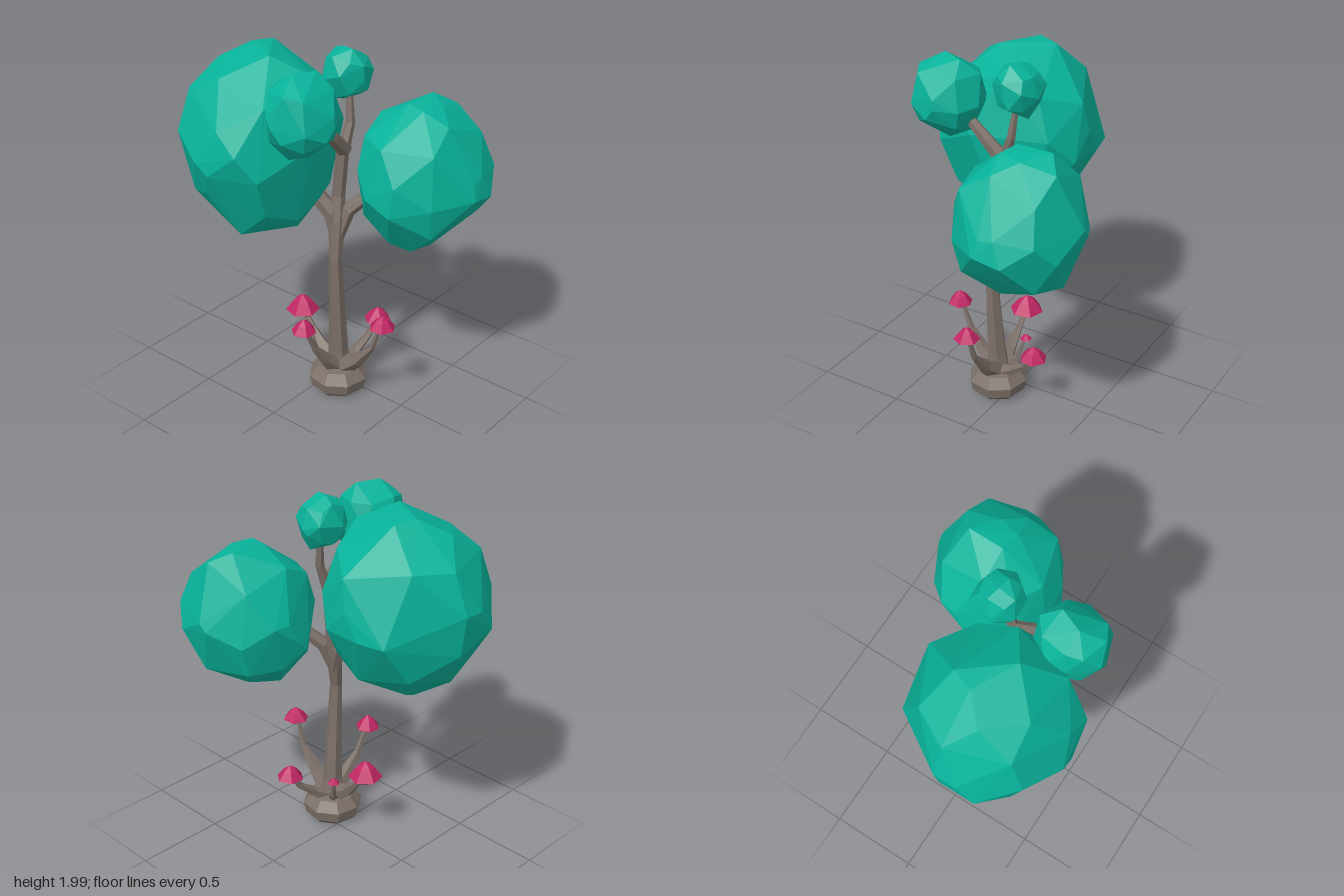
import * as THREE from 'three';
import { ConvexGeometry } from 'three/addons/geometries/ConvexGeometry.js';

const leaf = new THREE.MeshStandardMaterial({ color: 0x08b29a });
leaf.name = 'leafTeal';
const bark = new THREE.MeshStandardMaterial({ color: 0x7c7068 });
bark.name = 'barkBrown';
const capPink = new THREE.MeshStandardMaterial({ color: 0xc02664 });
capPink.name = 'capPink';

// Split faces so each one shades flat
function faceted(geometry) {
  const g = geometry.index ? geometry.toNonIndexed() : geometry;
  g.computeVertexNormals();
  return g;
}

// Faceted foliage ball: hull of a front (x,y), side (z,y) and top (x,z) outline
// around a centre, rounded out by one point in each of the eight corners
function foliageGeometry(centre, half, front, side, top) {
  const [cx, cy, cz] = centre;
  const [hx, hy, hz] = half;
  const wobble = (i) => (i % 2 ? 0.14 : -0.14);
  const points = [
    ...front.map(([x, y], i) => new THREE.Vector3(x, y, cz + wobble(i) * hz)),
    ...side.map(([z, y], i) => new THREE.Vector3(cx + wobble(i) * hx, y, z)),
    ...top.map(([x, z], i) => new THREE.Vector3(x, cy + wobble(i) * hy, z)),
  ];
  for (const sx of [-0.59, 0.59]) {
    for (const sy of [-0.59, 0.59]) {
      for (const sz of [-0.59, 0.59]) points.push(new THREE.Vector3(cx + sx * hx, cy + sy * hy, cz + sz * hz));
    }
  }
  return faceted(new ConvexGeometry(points));
}

// Tapered faceted limb: each node is [x, y, z, radius]
function limbGeometry(nodes, sides) {
  const pts = nodes.map((n) => new THREE.Vector3(n[0], n[1], n[2]));
  const last = pts.length - 1;
  const dir = pts[last].clone().sub(pts[0]);
  const ref = Math.abs(dir.x) < Math.abs(dir.z) ? new THREE.Vector3(1, 0, 0) : new THREE.Vector3(0, 0, 1);
  const positions = [];
  const index = [];
  pts.forEach((p, i) => {
    const t = pts[Math.min(i + 1, last)].clone().sub(pts[Math.max(i - 1, 0)]).normalize();
    const u = ref.clone().cross(t).normalize();
    const v = t.clone().cross(u);
    for (let j = 0; j < sides; j++) {
      const a = (j / sides) * Math.PI * 2;
      const q = p.clone().addScaledVector(u, Math.cos(a) * nodes[i][3]).addScaledVector(v, Math.sin(a) * nodes[i][3]);
      positions.push(q.x, q.y, q.z);
      if (i < last) {
        const k = i * sides;
        const n = (j + 1) % sides;
        index.push(k + j, k + n, k + sides + n, k + j, k + sides + n, k + sides + j);
      }
    }
  });
  // Close the tip
  for (let j = 1; j < sides - 1; j++) index.push(last * sides, last * sides + j, last * sides + j + 1);
  const g = new THREE.BufferGeometry();
  g.setAttribute('position', new THREE.Float32BufferAttribute(positions, 3));
  g.setIndex(index);
  return faceted(g);
}

function lathe(profile, sides) {
  return faceted(new THREE.LatheGeometry(profile.map(([x, y]) => new THREE.Vector2(x, y)), sides));
}

export function createModel() {
  const model = new THREE.Group();
  model.name = 'tree';
  const add = (name, geometry, material, parent = model) => {
    const mesh = new THREE.Mesh(geometry, material);
    mesh.name = name;
    parent.add(mesh);
    return mesh;
  };

  // Bulbous root base
  const base = add('rootBase', lathe(
    [[0, 0.03], [0.07, 0.008], [0.13, 0.012], [0.158, 0.04], [0.17, 0.1], [0.125, 0.155], [0, 0.17]], 8), bark);
  base.position.set(-0.065, 0, 0.105);
  base.rotation.y = 0.2;

  // Trunk and branches
  const limbs = {
    trunk: [[-0.065, 0.1, 0.105, 0.085], [-0.07, 0.25, 0.108, 0.056], [-0.088, 0.55, 0.112, 0.044],
      [-0.1, 0.85, 0.11, 0.035], [-0.065, 1.06, 0.09, 0.046], [-0.04, 1.2, 0.08, 0.036], [-0.03, 1.48, 0.1, 0.034]],
    backBranch: [[-0.075, 0.96, 0.1, 0.036], [-0.07, 1.1, 0.06, 0.05], [-0.12, 1.28, -0.1, 0.04]],
    frontBranch: [[-0.075, 0.96, 0.1, 0.034], [-0.02, 1.12, 0.13, 0.042], [0.1, 1.26, 0.26, 0.03]],
    rightTwig: [[-0.02, 1.46, 0.1, 0.045], [-0.12, 1.56, 0.11, 0.036], [-0.27, 1.7, 0.11, 0.024]],
    leftTwig: [[-0.03, 1.45, 0.1, 0.034], [0.025, 1.6, 0.105, 0.025], [0.045, 1.8, 0.08, 0.015]],
  };
  for (const [name, nodes] of Object.entries(limbs)) add(name, limbGeometry(nodes, 6), bark);

  // Foliage balls
  add('backFoliage', foliageGeometry([-0.18, 1.47, -0.33], [0.44, 0.5, 0.43],
    [[-0.62, 1.455], [-0.575, 1.64], [-0.42, 1.85], [-0.16, 1.965], [0, 1.95], [0.235, 1.7], [0.26, 1.4],
      [0.12, 1.1], [-0.125, 0.96], [-0.425, 1], [-0.55, 1.255]],
    [[-0.205, 1.965], [-0.435, 1.96], [-0.56, 1.88], [-0.69, 1.75], [-0.77, 1.53], [-0.745, 1.315], [-0.59, 1.07],
      [-0.445, 0.985], [-0.275, 0.96], [-0.14, 0.97], [-0.03, 1.09], [0.03, 1.21], [0.09, 1.55], [-0.02, 1.86]],
    [[-0.34, -0.76], [-0.12, -0.775], [0.23, -0.545], [0.26, -0.305], [0.25, -0.17], [0.155, -0.045],
      [-0.525, -0.05], [-0.595, -0.135], [-0.62, -0.305], [-0.52, -0.605]]), leaf);
  add('frontFoliage', foliageGeometry([0.258, 1.31, 0.4], [0.36, 0.39, 0.37],
    [[-0.035, 1.53], [0.18, 1.7], [0.41, 1.71], [0.49, 1.65], [0.615, 1.325], [0.54, 1.055], [0.345, 0.94],
      [0.105, 0.925], [0.05, 0.965], [-0.1, 1.2]],
    [[0.345, 1.71], [0.485, 1.69], [0.59, 1.64], [0.74, 1.38], [0.77, 1.28], [0.66, 1.12], [0.51, 0.945],
      [0.34, 0.925], [0.23, 0.94], [0.095, 1.09], [0.025, 1.2], [0.04, 1.37], [0.165, 1.62]],
    [[0.255, 0.025], [0.395, 0.05], [0.525, 0.165], [0.615, 0.39], [0.575, 0.59], [0.505, 0.685], [0.365, 0.765],
      [0.23, 0.745], [0.01, 0.64], [-0.085, 0.47], [-0.09, 0.295], [-0.015, 0.185], [0.155, 0.055]]), leaf);
  add('rightSmallFoliage', foliageGeometry([-0.355, 1.76, 0.1], [0.195, 0.225, 0.19],
    [[-0.39, 1.98], [-0.265, 1.975], [-0.175, 1.9], [-0.155, 1.74], [-0.225, 1.585], [-0.335, 1.535],
      [-0.425, 1.54], [-0.535, 1.67], [-0.55, 1.74], [-0.515, 1.91]],
    [[0.15, 1.93], [0.295, 1.74], [0.285, 1.675], [0.165, 1.6], [-0.04, 1.62], [-0.09, 1.76], [-0.04, 1.91]],
    [[-0.385, -0.09], [-0.3, -0.085], [-0.19, -0.015], [-0.165, 0.1], [-0.21, 0.235], [-0.33, 0.29],
      [-0.495, 0.245], [-0.545, 0.04]]), leaf);
  add('topSmallFoliage', foliageGeometry([0.042, 1.86, 0.065], [0.125, 0.14, 0.13],
    [[0.035, 2], [0.135, 1.945], [0.165, 1.815], [0.115, 1.72], [-0.035, 1.74], [-0.08, 1.87], [-0.055, 1.965]],
    [[0.115, 2], [-0.02, 1.975], [-0.065, 1.86], [-0.03, 1.765], [0.06, 1.72], [0.19, 1.79], [0.19, 1.925]],
    [[0.01, -0.065], [0.155, -0.03], [0.17, 0.08], [0.125, 0.175], [0.025, 0.19], [-0.08, 0.115],
      [-0.08, 0.005]]), leaf);

  // Mushrooms: cap rim centre, cap radius, cap height, stem nodes
  [
    ['rightMushroom', [-0.33, 0.475, 0.08], 0.07, 0.09,
      [[-0.07, 0.15, 0.105, 0.07], [-0.17, 0.235, 0.1, 0.04], [-0.255, 0.345, 0.09, 0.02], [-0.325, 0.5, 0.08, 0.012]]],
    ['frontMushroom', [-0.07, 0.505, 0.41], 0.073, 0.085,
      [[-0.065, 0.15, 0.12, 0.07], [-0.07, 0.23, 0.235, 0.042], [-0.07, 0.36, 0.345, 0.018], [-0.07, 0.53, 0.4, 0.01]]],
    ['backMushroom', [-0.045, 0.375, -0.175], 0.096, 0.115,
      [[-0.065, 0.15, 0.09, 0.07], [-0.06, 0.22, -0.02, 0.04], [-0.05, 0.3, -0.095, 0.02], [-0.045, 0.4, -0.17, 0.014]]],
    ['leftMushroom', [0.205, 0.33, 0.17], 0.077, 0.09,
      [[-0.05, 0.13, 0.115, 0.06], [0.05, 0.19, 0.135, 0.03], [0.14, 0.26, 0.155, 0.02], [0.2, 0.36, 0.17, 0.014]]],
    ['tinyMushroom', [0.045, 0.308, -0.015], 0.035, 0.036,
      [[-0.04, 0.13, 0.07, 0.04], [0.01, 0.2, 0.025, 0.018], [0.043, 0.32, -0.013, 0.007]]],
  ].forEach(([name, at, r, h, stem], i) => {
    const group = new THREE.Group();
    group.name = name;
    model.add(group);
    add('stem', limbGeometry(stem, 5), bark, group);
    const cap = add('cap', lathe(
      [[0, h * 0.15], [r * 0.7, 0], [r, h * 0.15], [r * 0.52, h * 0.68], [0, h]], 6), capPink, group);
    cap.position.set(...at);
    cap.rotation.y = 0.4 + i * 0.7;
  });

  return model;
}
